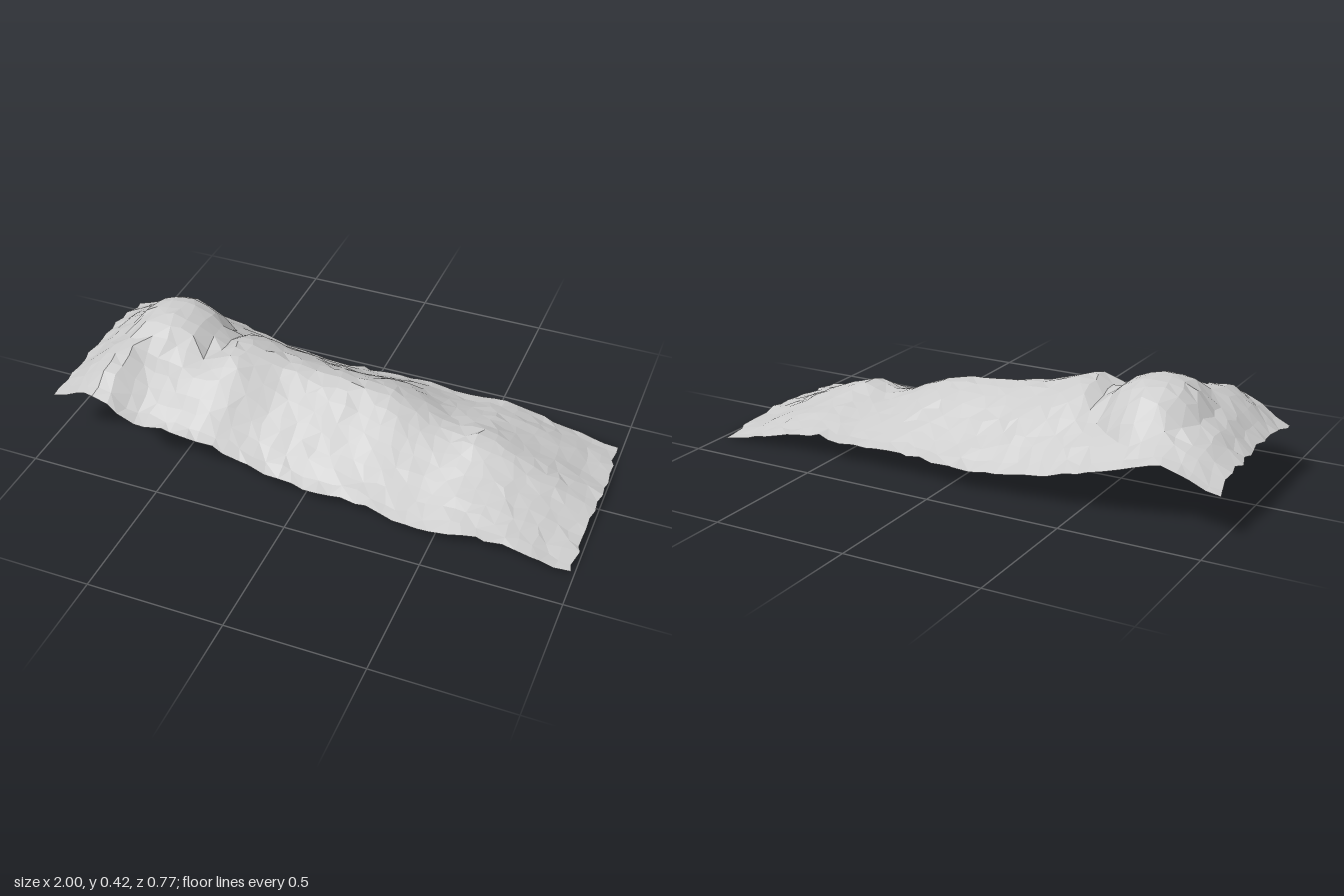
import * as THREE from 'three';

// Cross-sections along x: [x, heights from the front edge (+z) to the back edge (-z)]
const sections = [
  [-0.99, 0.18, 0.195, 0.20, 0.20, 0.20, 0.19, 0.155],
  [-0.88, 0.235, 0.275, 0.285, 0.29, 0.28, 0.25, 0.20],
  [-0.77, 0.26, 0.33, 0.35, 0.33, 0.32, 0.275, 0.225],
  [-0.66, 0.19, 0.265, 0.325, 0.345, 0.34, 0.27, 0.19],
  [-0.57, 0.175, 0.25, 0.315, 0.33, 0.32, 0.25, 0.165],
  [-0.48, 0.165, 0.24, 0.315, 0.315, 0.285, 0.225, 0.14],
  [-0.37, 0.145, 0.235, 0.345, 0.357, 0.31, 0.205, 0.115],
  [-0.20, 0.09, 0.17, 0.27, 0.32, 0.27, 0.18, 0.085],
  [0.00, 0.055, 0.13, 0.23, 0.30, 0.24, 0.15, 0.08],
  [0.20, 0.055, 0.11, 0.19, 0.265, 0.24, 0.16, 0.09],
  [0.42, 0.035, 0.08, 0.14, 0.185, 0.165, 0.12, 0.08],
  [0.55, 0.05, 0.09, 0.15, 0.205, 0.17, 0.13, 0.09],
  [0.75, 0.055, 0.075, 0.10, 0.13, 0.11, 0.09, 0.05],
  [0.99, 0.01, 0.02, 0.03, 0.033, 0.02, 0.012, 0.0],
];

// Evenly spaced outline of the long edges, from -x to +x
const frontEdge = [0.335, 0.385, 0.365, 0.345, 0.35, 0.355, 0.37, 0.365, 0.36];
const backEdge = [-0.355, -0.36, -0.37, -0.37, -0.38, -0.37, -0.37, -0.36, -0.37];

// Smooth curve through evenly numbered values
function sample(values, t) {
  const i = Math.min(Math.floor(t), values.length - 2), f = t - i;
  const at = (k) => values[Math.max(0, Math.min(values.length - 1, k))];
  const a = at(i - 1), b = at(i), c = at(i + 1), d = at(i + 2);
  return b + 0.5 * f * (c - a + f * (2 * a - 5 * b + 4 * c - d + f * (3 * (b - c) + d - a)));
}

function ridgeHeight(x, v) {
  let i = 0;
  while (i < sections.length - 2 && x > sections[i + 1][0]) i++;
  const t = i + THREE.MathUtils.clamp(
    (x - sections[i][0]) / (sections[i + 1][0] - sections[i][0]), 0, 1);
  return sample(sections.map((s) => sample(s.slice(1), v * 6)), t);
}

// Round flat-topped dome at the high end
function domeHeight(x, z) {
  const d2 = ((x + 0.65) / 0.19) ** 2 + ((z + 0.06) / 0.2) ** 2;
  return 0.075 * Math.max(0, 1 - d2 * d2);
}

export function createModel() {
  const group = new THREE.Group();
  let seed = 17;
  const jitter = (size) => {
    seed = (seed * 16807) % 2147483647;
    return (seed / 2147483647 - 0.5) * 2 * size;
  };

  // Thin sheet draped over a ridge, roughened into irregular facets
  const columns = 40, rows = 16;
  const geometry = new THREE.PlaneGeometry(1.98, 1, columns, rows);
  geometry.rotateX(-Math.PI / 2);
  const p = geometry.attributes.position;
  for (let i = 0; i < p.count; i++) {
    const x = THREE.MathUtils.clamp(p.getX(i) + jitter(0.012), -1, 1);
    const v = THREE.MathUtils.clamp(0.5 - p.getZ(i) + jitter(0.014), 0, 1);
    const along = (x + 1) * 4;
    const z = THREE.MathUtils.lerp(sample(frontEdge, along), sample(backEdge, along), v);
    const y = ridgeHeight(x, v) + domeHeight(x, z) + jitter(0.004);
    p.setXYZ(i, x, Math.max(0, y), z + jitter(0.004));
  }

  // Alternate the diagonals so the facets do not line up in streaks
  const index = [];
  for (let r = 0; r < rows; r++) {
    for (let c = 0; c < columns; c++) {
      const a = r * (columns + 1) + c, b = a + columns + 1;
      if ((r + c) % 2) index.push(a, b, a + 1, b, b + 1, a + 1);
      else index.push(a, b, b + 1, a, b + 1, a + 1);
    }
  }
  geometry.setIndex(index);
  geometry.computeVertexNormals();

  const sheet = new THREE.Mesh(geometry, new THREE.MeshStandardMaterial({
    color: 0xcccccc, flatShading: true, side: THREE.DoubleSide,
  }));
  sheet.name = 'drapedSheet';
  group.add(sheet);
  return group;
}
